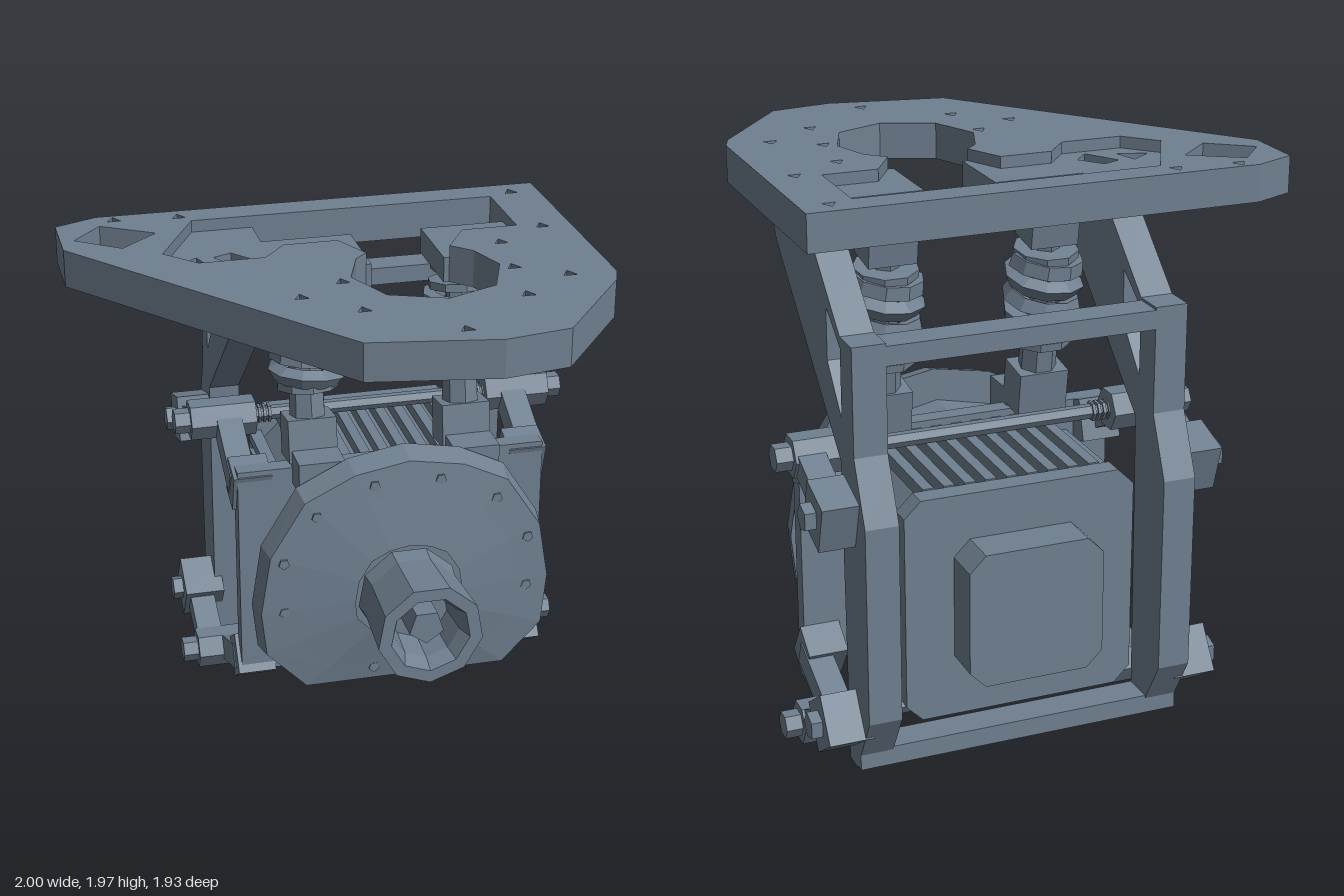
import * as THREE from 'three';

const CX = 0.21; // centre line of the machine
const slate = new THREE.MeshStandardMaterial({ color: 0x708090 });

export function createModel() {
  const root = new THREE.Group();

  // faceted mesh helper
  function add(name, geo, x = 0, y = 0, z = 0, parent = root) {
    const g = geo.index ? geo.toNonIndexed() : geo;
    g.computeVertexNormals();
    const m = new THREE.Mesh(g, slate);
    m.name = name;
    m.position.set(x, y, z);
    parent.add(m);
    return m;
  }
  // outlines always run anticlockwise, so hole walls face the right way
  function toShape(pts) {
    const v = pts.map(([a, b]) => new THREE.Vector2(a, b));
    return new THREE.Shape(THREE.ShapeUtils.isClockWise(v) ? v.reverse() : v);
  }
  const extrude = (shape, depth) => new THREE.ExtrudeGeometry(shape, { depth, bevelEnabled: false });
  const box = (name, x0, x1, y0, y1, z0, z1) =>
    add(name, new THREE.BoxGeometry(x1 - x0, y1 - y0, z1 - z0), (x0 + x1) / 2, (y0 + y1) / 2, (z0 + z1) / 2);

  // [z, y] outline extruded along x
  function sidePart(name, pts, x0, x1, hole) {
    const s = toShape(pts.map(([z, y]) => [-z, y]));
    if (hole) s.holes.push(toShape(hole.map(([z, y]) => [-z, y])));
    return add(name, extrude(s, x1 - x0).rotateY(Math.PI / 2), x0);
  }
  // bar in the side plane between two [z, y] points
  function beam(name, x, a, b, w, d) {
    const dz = b[0] - a[0], dy = b[1] - a[1];
    const m = add(name, new THREE.BoxGeometry(w, Math.hypot(dz, dy), d), x, (a[1] + b[1]) / 2, (a[0] + b[0]) / 2);
    m.rotation.x = Math.atan2(dz, dy);
  }
  const xCyl = (name, r, len, sides, x, y, z) =>
    add(name, new THREE.CylinderGeometry(r, r, len, sides).rotateZ(Math.PI / 2), x, y, z);

  // top plate in two layers, outlines in [x, z]: the upper one is cut away to leave pockets
  const flip = (pts) => toShape(pts.map(([x, z]) => [x, -z]));
  const ringHole = [[0.36, 0.08], [0.43, 0.15], [0.48, 0.3], [0.41, 0.49], [0.22, 0.57],
    [0.02, 0.49], [-0.06, 0.3], [0, 0.13], [0.05, 0.08]];
  const floorCut = [[-0.27, -0.4], [0.66, -0.4], [0.66, -0.24], [0.34, -0.24], [0.34, 0.08],
    ...ringHole, [0.07, 0.08], [0.07, -0.24], [-0.27, -0.24]];
  const pocketCut = [[-0.5, -0.4], [0.66, -0.4], [0.66, -0.07], [0.45, -0.07], ...ringHole,
    [-0.02, -0.07], [-0.22, -0.07], [-0.31, 0.04], [-0.55, 0.04], [-0.66, -0.08]];
  const floorGaps = [[[-0.61, -0.07], [-0.53, -0.13], [-0.5, -0.03]],
    [[-0.47, -0.12], [-0.4, -0.15], [-0.33, -0.06], [-0.39, 0.01]]];
  function plateLayer(name, y, depth, cuts) {
    const plate = flip([[-1, -0.45], [-0.84, -0.52], [0.86, -0.52], [0.86, 0.46], [0.83, 0.54],
      [0.54, 0.92], [0.3, 0.96], [-0.16, 0.88], [-1, -0.2]]);
    for (const c of cuts) plate.holes.push(flip(c));
    plate.holes.push(flip([[-0.95, -0.29], [-0.84, -0.42], [-0.65, -0.3], [-0.79, -0.17]]));
    for (const [x, z] of [[-0.78, -0.48], [-0.54, -0.46], [0.75, -0.44], [0.75, -0.05], [0.52, 0.33],
      [0.69, 0.44], [0.2, 0.84], [-0.27, 0.44], [-0.1, 0.33], [0.49, 0.59], [-0.09, 0.6], [0.55, 0.08]]) {
      plate.holes.push(flip([[x, z - 0.025], [x + 0.025, z + 0.02], [x - 0.025, z + 0.02]]));
    }
    add(name, extrude(plate, depth).rotateX(-Math.PI / 2), 0, y);
  }
  plateLayer('topPlateFloor', 1.84, 0.095, [floorCut, ...floorGaps]);
  plateLayer('topPlateRim', 1.935, 0.045, [pocketCut]);

  // front flange: outline rings lofted along z
  const outline = [[-0.38, 0.55], [-0.36, 0.36], [-0.2, 0.19], [0.62, 0.19], [0.78, 0.36], [0.8, 0.58],
    [0.76, 0.82], [0.62, 1.04], [0.44, 1.13], [0.22, 1.17], [0, 1.13], [-0.2, 1.03], [-0.34, 0.8]];
  const rings = [[0, 0.5, 0.5], [0, 1, 1], [0.1, 0.97, 0.95], [0.115, 0.74, 0.74], [0.145, 0.36, 0.36]];
  const pos = [], idx = [], n = outline.length;
  rings.forEach(([z, kx, ky], j) => outline.forEach(([x, y], i) => {
    pos.push(CX + (x - CX) * kx, 0.6 + (y - 0.6) * ky, z);
    const a = j * n + i, b = j * n + (i + 1) % n;
    if (j < rings.length - 1) idx.push(a, b, b + n, a, b + n, a + n);
  }));
  const flange = new THREE.BufferGeometry();
  flange.setAttribute('position', new THREE.Float32BufferAttribute(pos, 3));
  flange.setIndex(idx);
  add('frontFlange', flange);
  for (let i = 0; i < 12; i++) {
    const a = (i + 0.5) / 12 * Math.PI * 2;
    add('flangeBolt', new THREE.CylinderGeometry(0.022, 0.022, 0.02, 5).rotateX(Math.PI / 2),
      CX + 0.5 * Math.cos(a), 0.66 + 0.41 * Math.sin(a), 0.104);
  }

  // hollow output nose with an inner shaft
  const nose = [[0.2, 0.13], [0.19, 0.2], [0.205, 0.46], [0.155, 0.46], [0.13, 0.4], [0.12, 0.26], [0, 0.26]];
  add('outputNose', new THREE.LatheGeometry(nose.map(([r, z]) => new THREE.Vector2(r, z)), 9).rotateX(Math.PI / 2), CX, 0.59, 0);
  add('innerShaft', new THREE.CylinderGeometry(0.07, 0.07, 0.14, 5).rotateX(Math.PI / 2), CX, 0.59, 0.33);

  // gear housing and mounting plate
  add('gearHousing', new THREE.CylinderGeometry(0.53, 0.53, 0.14, 12).rotateX(Math.PI / 2).scale(1, 0.82, 1), CX, 0.61, -0.07);
  box('mountingPlate', -0.4, 0.82, 0.17, 1.05, -0.2, -0.13);

  // motor body with cooling fins on all four sides
  const oct = (w, h, c) => [[-w + c, -h], [w - c, -h], [w, -h + c], [w, h - c], [w - c, h], [-w + c, h], [-w, h - c], [-w, -h + c]];
  add('motorBody', extrude(toShape(oct(0.4, 0.38, 0.1)), 0.6), CX, 0.6, -0.8);
  for (let i = -4; i <= 4; i++) {
    const t = i * 0.078;
    for (const s of [-1, 1]) {
      add('bodyFin', new THREE.BoxGeometry(0.04, 0.05, 0.54), CX + t, 0.6 + s * 0.4, -0.47);
      add('bodyFin', new THREE.BoxGeometry(0.05, 0.04, 0.54), CX + s * 0.42, 0.6 + t, -0.47);
    }
  }
  add('bodyEndPlate', extrude(toShape(oct(0.43, 0.42, 0.06)), 0.08), CX, 0.6, -0.82);
  add('rearCap', extrude(toShape(oct(0.25, 0.25, 0.06)), 0.15), CX, 0.6, -0.97);

  // cross bars and threaded rods
  box('upperCrossBar', -0.4, 0.82, 1.53, 1.6, -0.84, -0.72);
  box('lowerCrossBar', -0.4, 0.82, 0.04, 0.11, -0.84, -0.72);
  for (const y of [0.08, 1.12]) {
    xCyl('tieRod', 0.028, 1.5, 6, CX, y, -0.5);
    for (const s of [-1, 1]) {
      for (let i = 0; i < 8; i++) xCyl('rodThread', 0.038, 0.011, 6, CX + s * (0.41 + i * 0.02), y, -0.5);
    }
  }
  xCyl('lowerSleeve', 0.04, 0.8, 6, CX, 0.08, -0.5);

  for (const s of [-1, 1]) {
    const x0 = CX + s * 0.55 - 0.06, x1 = x0 + 0.12;
    // diagonal bracket holding the plate, and rear post
    sidePart('plateBracket', [[0.03, 1.84], [-0.46, 1.84], [-0.72, 1.61], [-0.84, 1.61], [-0.84, 1.2], [-0.7, 1.16], [-0.02, 1.75]],
      x0, x1, [[-0.58, 1.67], [-0.58, 1.48], [-0.72, 1.32], [-0.72, 1.57]]);
    sidePart('rearPost', [[-0.7, 1.16], [-0.72, 1.22], [-0.84, 1.22], [-0.94, 1], [-0.94, 0.27], [-0.8, 0.03], [-0.72, 0.03]], x0, x1);

    // upper and lower link arms with pivots and clamps
    const ax = CX + s * 0.67;
    for (const [front, mid, rear] of [
      [[-0.2, 0.97], [-0.5, 1.12], [-0.78, 1.01]],
      [[-0.2, 0.2], [-0.5, 0.08], [-0.78, 0.22]]]) {
      const tilt = rear[1] > 0.5 ? -0.3 : 0.6;
      beam('frontLink', CX + s * 0.58, front, mid, 0.1, 0.1);
      beam('rearLink', ax, mid, rear, 0.1, 0.09);
      xCyl('linkPivot', 0.08, 0.26, 6, CX + s * 0.6, mid[1], mid[0]);
      xCyl('rodNut', 0.05, 0.06, 6, CX + s * 0.76, mid[1], mid[0]);
      const foot = add('frontClamp', new THREE.BoxGeometry(0.15, 0.16, 0.13), CX + s * 0.55, front[1], front[0] - 0.01);
      foot.rotation.x = -tilt;
      const clamp = add('rearClamp', new THREE.BoxGeometry(0.16, 0.18, 0.17), CX + s * 0.66, rear[1], rear[0]);
      clamp.rotation.x = tilt;
      xCyl('clampBolt', 0.05, 0.06, 5, CX + s * 0.75, rear[1], rear[0]);
    }

    // tilted spring shock
    const shock = new THREE.Group();
    shock.name = 'springShock';
    shock.position.set(CX - 0.005 + s * 0.305, 1.02, -0.2);
    shock.rotation.x = -0.15;
    root.add(shock);
    add('shockFoot', new THREE.BoxGeometry(0.19, 0.17, 0.15), 0, 0.12, 0, shock);
    add('shockBody', new THREE.CylinderGeometry(0.065, 0.075, 0.35, 7), 0, 0.26, 0, shock);
    add('shockRod', new THREE.CylinderGeometry(0.05, 0.05, 0.4, 6), 0, 0.55, 0, shock);
    add('shockHead', new THREE.BoxGeometry(0.18, 0.11, 0.15), 0, 0.77, 0, shock);
    for (const y of [0.33, 0.67]) add('springSeat', new THREE.CylinderGeometry(0.12, 0.12, 0.03, 9), 0, y, 0, shock);
    const helix = [];
    for (let i = 0; i <= 36; i++) {
      const a = i / 9 * Math.PI * 2;
      helix.push(new THREE.Vector3(0.115 * Math.cos(a), 0.35 + 0.3 * i / 36, 0.115 * Math.sin(a)));
    }
    add('coilSpring', new THREE.TubeGeometry(new THREE.CatmullRomCurve3(helix), 40, 0.036, 4), 0, 0, 0, shock);
    // shock mount on top of the housing
    add('shockMount', new THREE.BoxGeometry(0.18, 0.13, 0.16), CX + s * 0.305, 1.05, -0.09);
  }
  return root;
}
